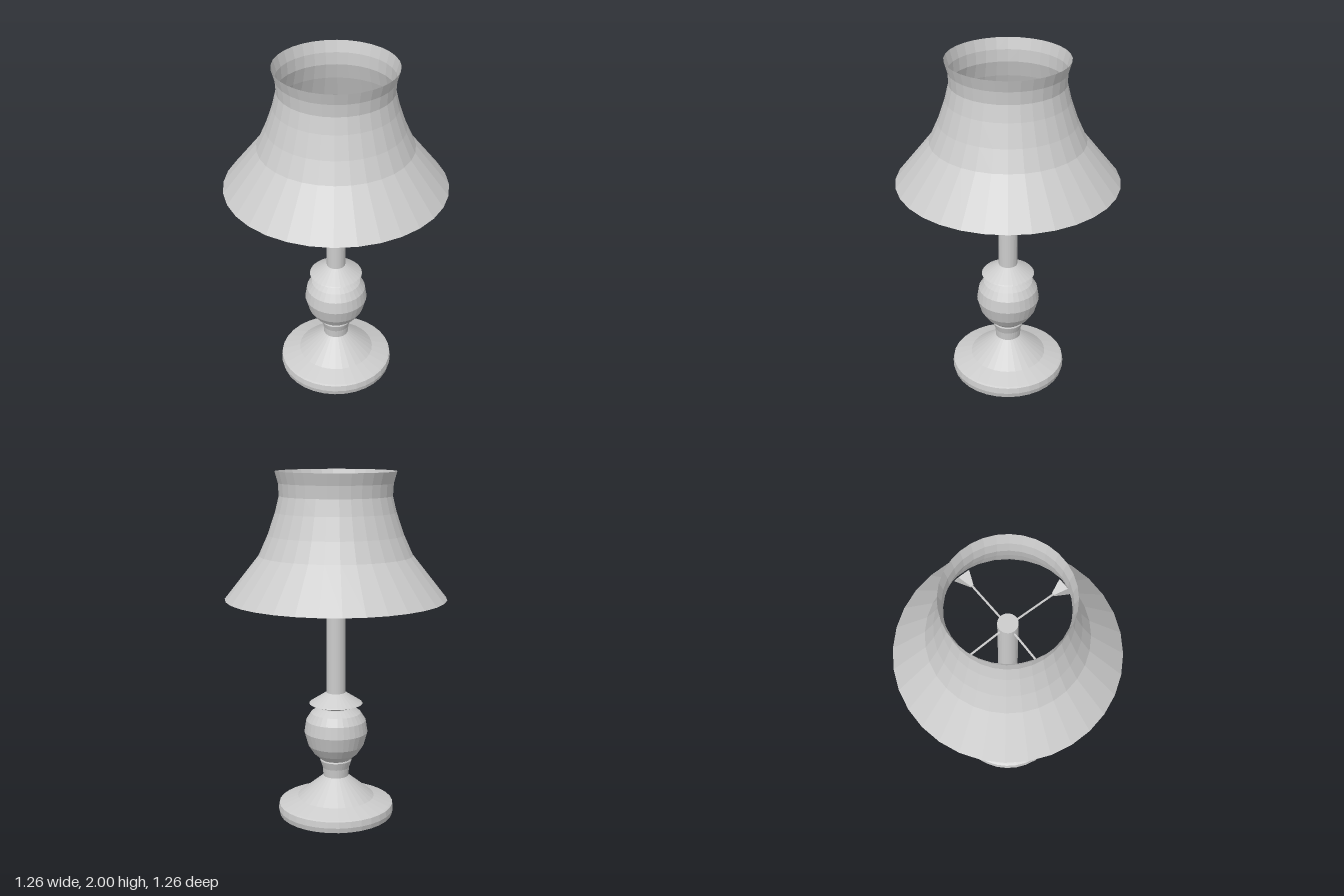
import * as THREE from 'three';

const SIDES = 32;
const solid = new THREE.MeshStandardMaterial({ color: 0xcccccc, flatShading: true });
const thin = new THREE.MeshStandardMaterial({ color: 0xcccccc, flatShading: true, side: THREE.DoubleSide });

// Turned part from [radius, height] pairs, listed bottom to top
function turned(name, profile, material = solid) {
  const points = profile.map(([r, y]) => new THREE.Vector2(r, y));
  const mesh = new THREE.Mesh(new THREE.LatheGeometry(points, SIDES), material);
  mesh.name = name;
  return mesh;
}

// Thin rod between two points
function rod(name, from, to, radius) {
  const dir = to.clone().sub(from);
  const mesh = new THREE.Mesh(new THREE.CylinderGeometry(radius, radius, dir.length(), 6), solid);
  mesh.position.copy(from).add(to).multiplyScalar(0.5);
  mesh.quaternion.setFromUnitVectors(new THREE.Vector3(0, 1, 0), dir.normalize());
  mesh.name = name;
  return mesh;
}

// Flared pad: a small inner end widening to a slanted rectangle against the shade
function flaredPad() {
  const section = (rTop, yTop, rBottom, yBottom, w) => [
    [rTop, yTop, -w], [rTop, yTop, w], [rBottom, yBottom, w], [rBottom, yBottom, -w],
  ];
  const corners = [...section(0.3, 1.63, 0.3, 1.615, 0.008), ...section(0.37, 1.66, 0.42, 1.53, 0.035)];
  const index = [0, 2, 1, 0, 3, 2, 4, 5, 6, 4, 6, 7];
  for (let i = 0; i < 4; i++) {
    const j = (i + 1) % 4;
    index.push(i, j, j + 4, i, j + 4, i + 4);
  }
  const geometry = new THREE.BufferGeometry();
  geometry.setAttribute('position', new THREE.Float32BufferAttribute(corners.flat(), 3));
  geometry.setIndex(index);
  geometry.computeVertexNormals();
  const mesh = new THREE.Mesh(geometry, thin);
  mesh.name = 'shadePad';
  return mesh;
}

export function createModel() {
  const lamp = new THREE.Group();
  lamp.name = 'tableLamp';

  // Turned stand
  lamp.add(turned('base', [
    [0, 0], [0.333, 0], [0.34, 0.03], [0.335, 0.065], [0.325, 0.07], [0.225, 0.105], [0.072, 0.23], [0, 0.23],
  ]));
  lamp.add(turned('neck', [
    [0, 0.23], [0.074, 0.23], [0.078, 0.28], [0.093, 0.325], [0.09, 0.332], [0, 0.332],
  ]));
  lamp.add(turned('bulb shaped body', [
    [0, 0.325], [0.085, 0.33], [0.13, 0.37], [0.163, 0.42], [0.185, 0.5],
    [0.174, 0.57], [0.145, 0.615], [0.1, 0.645], [0, 0.645],
  ]));
  lamp.add(turned('collar', [
    [0, 0.64], [0.085, 0.645], [0.155, 0.67], [0.15, 0.675], [0.057, 0.735], [0, 0.735],
  ]));

  const post = new THREE.Mesh(new THREE.CylinderGeometry(0.055, 0.055, 0.96, SIDES), solid);
  post.position.y = 1.2;
  post.name = 'post';
  lamp.add(post);

  // Open flared shade
  lamp.add(turned('shade', [
    [0.63, 1.29], [0.435, 1.535], [0.383, 1.65], [0.34, 1.775], [0.318, 1.865], [0.322, 1.935], [0.34, 2],
  ], thin));

  // Four arms carrying the shade, turned slightly off the axes
  for (let i = 0; i < 4; i++) {
    const arm = new THREE.Group();
    arm.name = 'shadeArm';
    arm.add(rod('armRod', new THREE.Vector3(0.04, 1.645, 0), new THREE.Vector3(0.32, 1.622, 0), 0.006));
    arm.add(flaredPad());
    arm.rotation.y = -0.09 + (i * Math.PI) / 2;
    lamp.add(arm);
  }
  return lamp;
}
